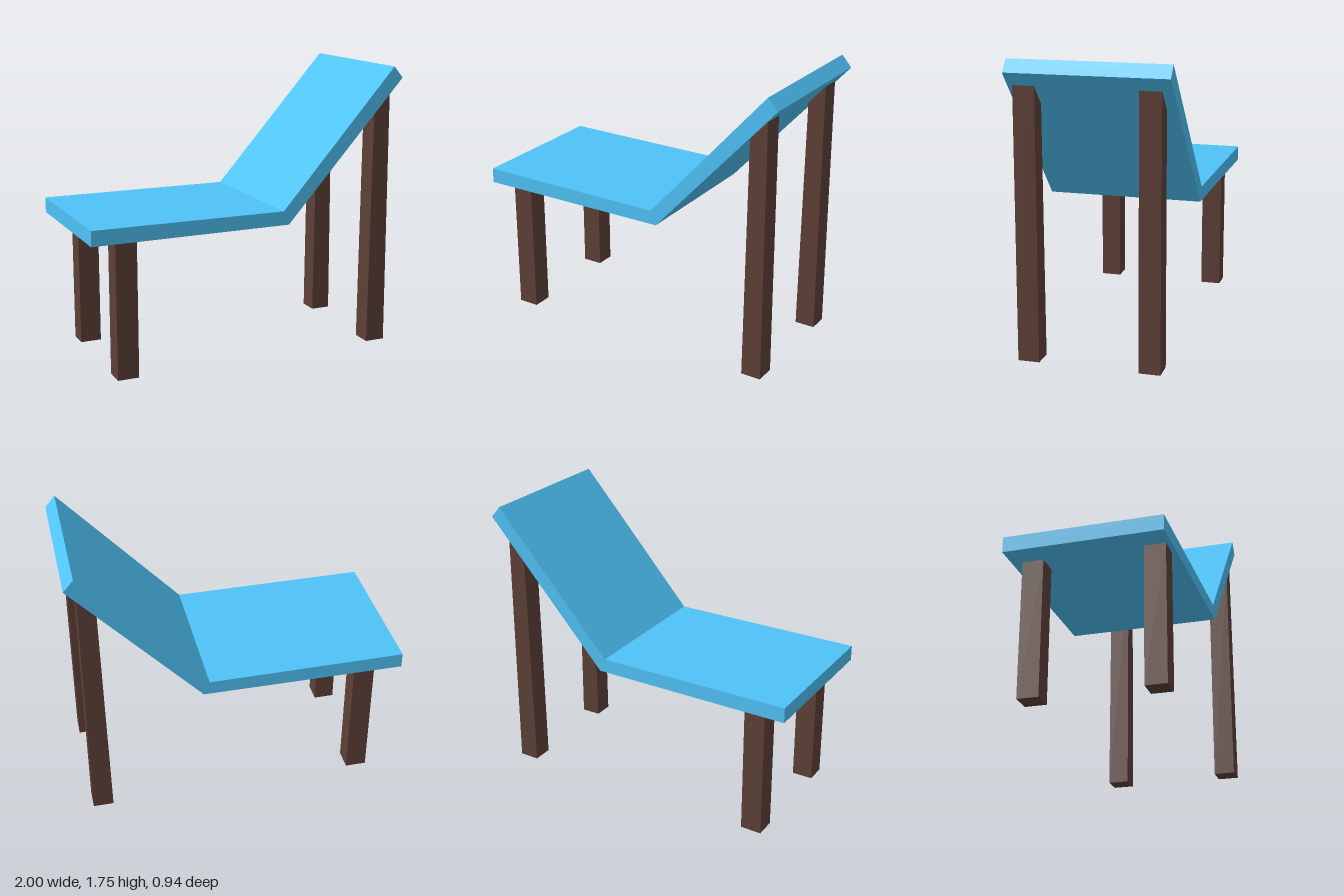
import * as THREE from 'three';

const fabric = new THREE.MeshStandardMaterial({ color: 0x4fc3f7, flatShading: true });
const wood = new THREE.MeshStandardMaterial({ color: 0x5d4037, flatShading: true });

// Extrudes a side outline (x, y) across the width, centred on z
function slab(name, outline, width, z, material) {
  const shape = new THREE.Shape(outline.map(([x, y]) => new THREE.Vector2(x, y)));
  const geometry = new THREE.ExtrudeGeometry(shape, { depth: width, bevelEnabled: false });
  geometry.translate(0, 0, z - width / 2);
  const mesh = new THREE.Mesh(geometry, material);
  mesh.name = name;
  return mesh;
}

export function createModel() {
  const lounger = new THREE.Group();
  lounger.name = 'lounger';

  // Flat seat and raised backrest in one bent board
  lounger.add(slab('seatAndBackrest', [
    [-1, 0.825], [0.235, 0.83], [1, 1.675], [0.94, 1.745], [0.2, 0.915], [-1, 0.918],
  ], 0.936, 0, fabric));

  // Short legs under the seat; tall legs cut to the slope of the backrest
  const footLeg = [[-0.85, 0], [-0.72, 0], [-0.72, 0.827], [-0.85, 0.826]];
  const backLeg = [[0.815, 0], [0.94, 0], [0.93, 1.598], [0.825, 1.482]];
  for (const [side, z] of [['Front', 0.375], ['Rear', -0.342]]) {
    lounger.add(slab('footLeg' + side, footLeg, 0.127, z, wood));
    lounger.add(slab('backrestLeg' + side, backLeg, 0.127, z, wood));
  }
  return lounger;
}
